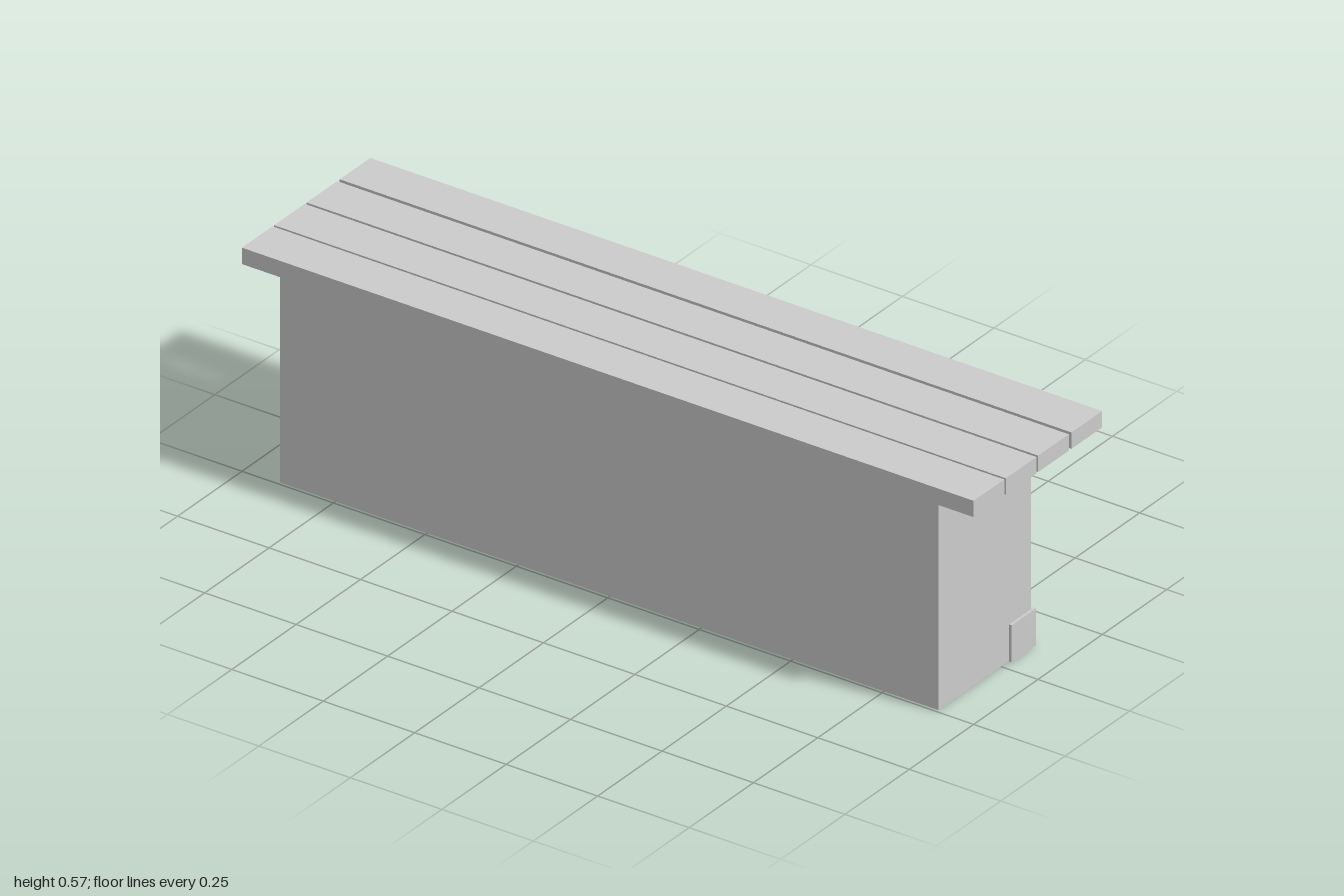
import * as THREE from 'three';

const material = new THREE.MeshStandardMaterial({ color: 0xcccccc, flatShading: true });

// Box given by its minimum and maximum corners
function box(name, [x0, y0, z0], [x1, y1, z1]) {
  const mesh = new THREE.Mesh(new THREE.BoxGeometry(x1 - x0, y1 - y0, z1 - z0), material);
  mesh.position.set((x0 + x1) / 2, (y0 + y1) / 2, (z0 + z1) / 2);
  mesh.name = name;
  return mesh;
}

export function createModel() {
  const group = new THREE.Group();
  group.name = 'bench';
  const bottom = 0.002, top = 0.54, frameBack = 0.098, frameFront = 0.115;

  // Solid body behind the frame
  group.add(box('body', [-0.245, bottom, -0.9], [frameBack, top, 0.9]));

  // Cross-braced frame: one sheet with four triangular openings per bay
  const frame = new THREE.Shape([[-0.9, bottom], [0.9, bottom], [0.9, top], [-0.9, top]]
    .map(([x, y]) => new THREE.Vector2(x, y)));
  const openings = [
    [[0.105, 0.49], [0.775, 0.49], [0.44, 0.3]],
    [[0.135, 0.047], [0.745, 0.047], [0.44, 0.22]],
    [[0.04, 0.443], [0.04, 0.078], [0.37, 0.26]],
    [[0.84, 0.443], [0.84, 0.078], [0.51, 0.26]],
  ];
  for (const side of [-1, 1]) {
    for (const corners of openings) {
      frame.holes.push(new THREE.Path(corners.map(([x, y]) => new THREE.Vector2(side * x, y))));
    }
  }
  const frameGeometry = new THREE.ExtrudeGeometry(frame, { depth: frameFront - frameBack, bevelEnabled: false });
  frameGeometry.rotateY(Math.PI / 2);
  const frameMesh = new THREE.Mesh(frameGeometry, material);
  frameMesh.position.x = frameBack;
  frameMesh.name = 'crossBracedFrame';
  group.add(frameMesh);

  // Corner feet
  group.add(box('frontFoot', [0.03, 0, 0.815], [0.124, 0.095, 0.907]));
  group.add(box('backFoot', [0.03, 0, -0.907], [0.124, 0.095, -0.815]));

  // Seat planks
  [-0.25, -0.125, 0.001, 0.13].forEach((x, i) => {
    group.add(box(`seatPlank${i + 1}`, [x, 0.532, -1], [x + 0.119, 0.574, 1]));
  });

  return group;
}
